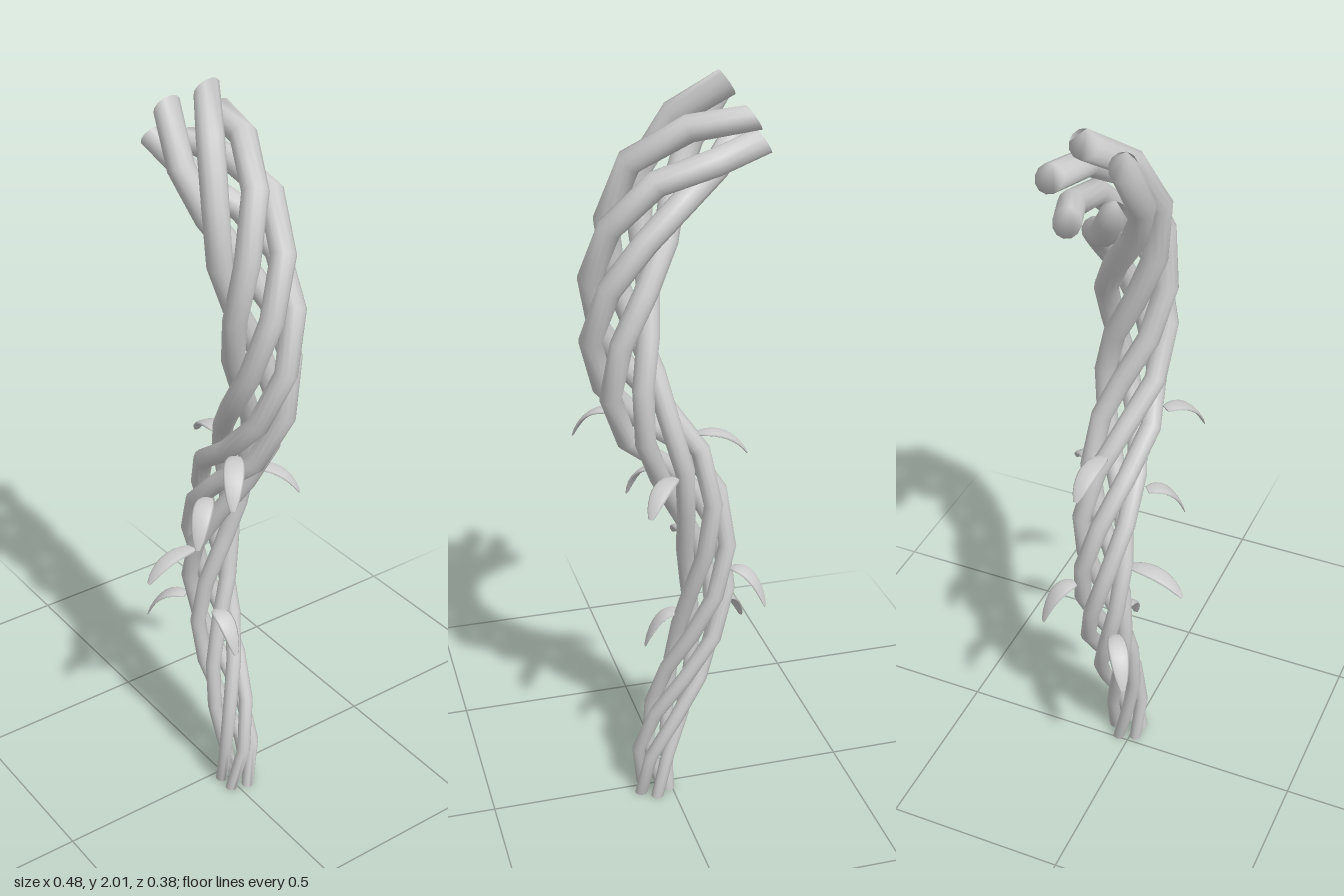
import * as THREE from 'three';

const V = (x, y, z) => new THREE.Vector3(x, y, z);
const material = new THREE.MeshStandardMaterial({ color: 0xcccccc, side: THREE.DoubleSide });

// Skin a list of equal rings and close both ends
function loft(rings) {
  const n = rings[0].length, last = (rings.length - 1) * n, idx = [];
  for (let i = 0; i < last; i += n) {
    for (let j = 0; j < n; j++) {
      const a = i + j, b = i + (j + 1) % n;
      idx.push(a, b, a + n, b, b + n, a + n);
    }
  }
  for (let j = 1; j < n - 1; j++) {
    idx.push(0, j + 1, j, last, last + j, last + j + 1);
  }
  const g = new THREE.BufferGeometry().setFromPoints(rings.flat());
  g.setIndex(idx);
  g.computeVertexNormals();
  return g;
}

// Ellipse around c; u, v and the direction of travel are right-handed
function ring(c, u, v, ru, rv, sides) {
  return Array.from({ length: sides }, (_, j) => {
    const a = j / sides * Math.PI * 2;
    return c.clone().addScaledVector(u, Math.cos(a) * ru).addScaledVector(v, Math.sin(a) * rv);
  });
}

// S-shaped line that the strands wind around
const spine = new THREE.CatmullRomCurve3([
  [0.057, 0], [0.053, 0.15], [-0.005, 0.33], [-0.065, 0.5], [-0.09, 0.7], [-0.065, 0.88], [0, 1.03],
  [0.09, 1.16], [0.142, 1.35], [0.125, 1.55], [0.05, 1.74], [-0.05, 1.83], [-0.165, 1.905],
].map(([x, y]) => V(x, y, -0.02 - 0.014 * Math.sin(y / 2 * Math.PI))));

const SEGMENTS = 16, TWIST = Math.PI * 4;

function strand(phase) {
  const centres = [];
  for (let i = 0; i <= SEGMENTS; i++) {
    const t = i / SEGMENTS, d = spine.getTangentAt(t);
    const side = V(d.y, -d.x, 0).normalize();
    const a = phase + TWIST * (1 - t), r = 0.041 + 0.049 * t;
    centres.push(spine.getPointAt(t).addScaledVector(side, Math.cos(a) * r).add(V(0, 0, Math.sin(a) * r)));
  }
  centres[0].y = 0;
  return loft(centres.map((c, i) => {
    let d;
    if (i === 0) d = V(0, 1, 0);
    else if (i === SEGMENTS) d = spine.getTangentAt(1);
    else d = centres[i + 1].clone().sub(centres[i - 1]).normalize();
    const u = V(d.y, -d.x, 0).normalize(), v = d.clone().cross(u);
    const r = 0.017 + 0.018 * i / SEGMENTS;
    return ring(c, u, v, r, r, 12);
  }));
}

// Thin, blunt leaf arching outward and drooping to its tip
function leaf(base, tip) {
  const out = V(tip.x - base.x, 0, tip.z - base.z);
  const bend = base.clone().addScaledVector(out, 0.65);
  bend.y += 0.012;
  const curve = new THREE.QuadraticBezierCurve3(base, bend, tip);
  const across = V(0, 1, 0).cross(out).normalize();
  const widths = [0.6, 0.85, 0.97, 1, 0.98, 0.9, 0.77, 0.58, 0.25];
  return loft(widths.map((w, i) => {
    const t = i / (widths.length - 1), d = curve.getTangent(t);
    return ring(curve.getPoint(t), across, d.clone().cross(across), 0.027 * w, 0.006 * w, 10);
  }));
}

export function createModel() {
  const model = new THREE.Group();
  model.name = 'twistedVine';
  const put = (geometry, name) => {
    const mesh = new THREE.Mesh(geometry, material);
    mesh.name = name;
    model.add(mesh);
  };

  for (let k = 0; k < 5; k++) {
    put(strand(THREE.MathUtils.degToRad(54 - 72 * k)), `strand${k + 1}`);
  }

  // Leaf base and tip
  [
    [[0.14, 1.135, 0.05], [0.232, 1.05, 0.122]],
    [[0.02, 0.955, 0.05], [0.088, 0.86, 0.128]],
    [[0.02, 1.0, -0.1], [0.105, 0.935, -0.185]],
    [[-0.06, 0.755, 0.04], [-0.06, 0.695, 0.185]],
    [[-0.14, 0.715, -0.09], [-0.215, 0.62, -0.15]],
    [[-0.13, 0.555, 0.02], [-0.225, 0.46, 0.085]],
    [[-0.02, 0.555, -0.005], [0.075, 0.46, -0.005]],
    [[-0.06, 1.09, -0.04], [-0.185, 1.03, -0.06]],
  ].forEach(([a, b], i) => put(leaf(V(...a), V(...b)), `leaf${i + 1}`));

  // Centre on the ground
  const box = new THREE.Box3().setFromObject(model), c = box.getCenter(V(0, 0, 0));
  model.position.set(-c.x, -box.min.y, -c.z);
  return model;
}
